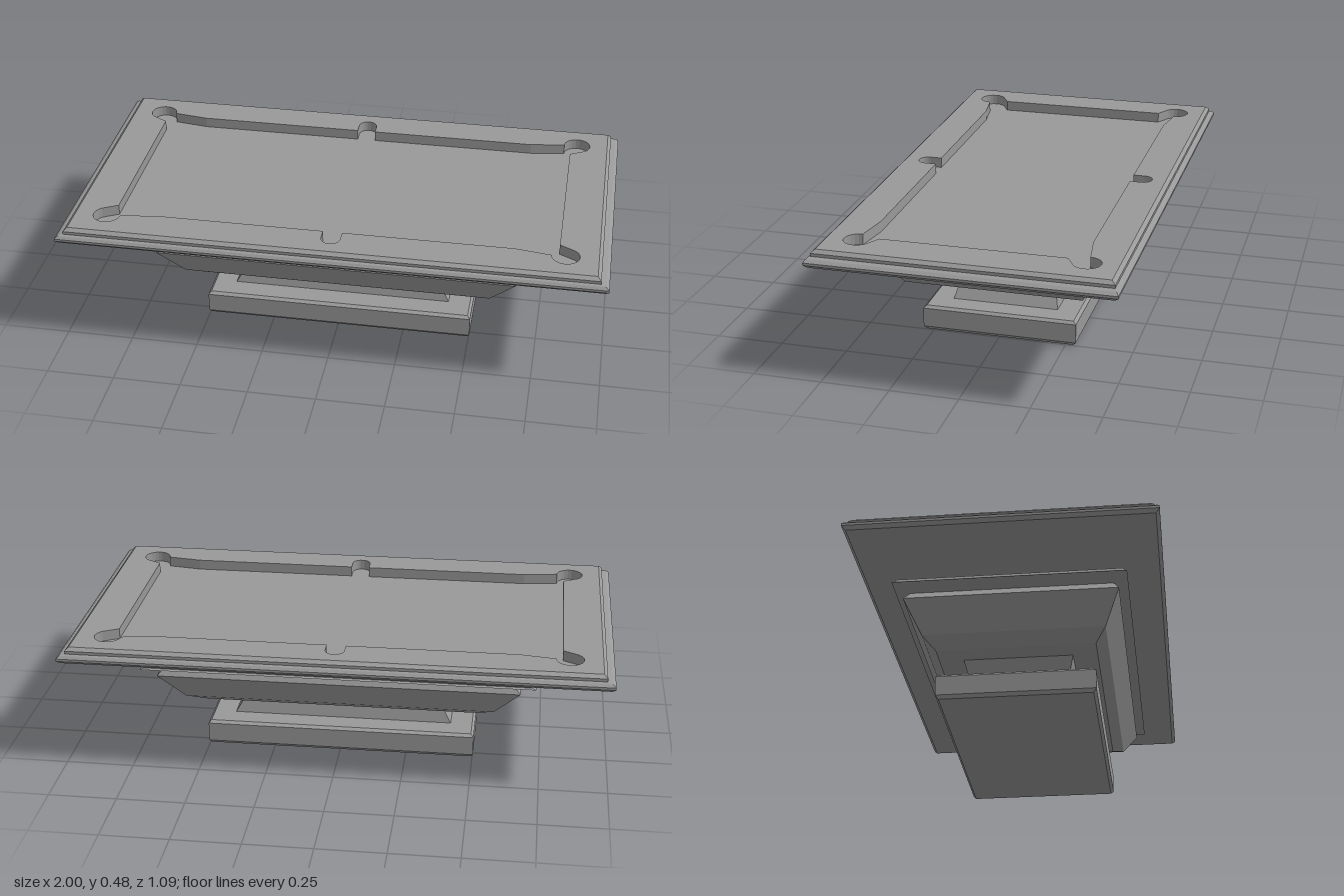
import * as THREE from 'three';

const material = new THREE.MeshStandardMaterial({ color: 0x999999, flatShading: true, side: THREE.DoubleSide });

// Rectangle outline, counter-clockwise seen from above
const rect = (hx, hz) => [[hx, -hz], [hx, hz], [-hx, hz], [-hx, -hz]].map(([x, y]) => new THREE.Vector2(x, y));

// Skin between successive outlines; levels = [[outline, height], ...]
function skin(levels) {
  const pos = [];
  for (let k = 0; k + 1 < levels.length; k++) {
    const [low, y0] = levels[k], [up, y1] = levels[k + 1];
    low.forEach((p, i) => {
      const j = (i + 1) % low.length;
      const a = [p.x, y0, -p.y], b = [low[j].x, y0, -low[j].y];
      const c = [up[j].x, y1, -up[j].y], d = [up[i].x, y1, -up[i].y];
      pos.push(...a, ...b, ...c, ...a, ...c, ...d);
    });
  }
  const g = new THREE.BufferGeometry();
  g.setAttribute('position', new THREE.Float32BufferAttribute(pos, 3));
  g.computeVertexNormals();
  return g;
}

// Flat face filling an outline, with an optional hole
function face(outline, y, up = true, hole) {
  const shape = new THREE.Shape(outline);
  if (hole) shape.holes.push(new THREE.Path(hole));
  return new THREE.ShapeGeometry(shape).rotateX(up ? -Math.PI / 2 : Math.PI / 2).translate(0, y, 0);
}

function part(name, ...geometries) {
  const group = new THREE.Group();
  group.name = name;
  geometries.forEach((g) => {
    const mesh = new THREE.Mesh(g, material);
    mesh.name = name;
    group.add(mesh);
  });
  return group;
}

// Closed rectangular moulding; profile rows are [halfWidth, halfDepth, height]
function moulding(name, profile) {
  const levels = profile.map(([hx, hz, y]) => [rect(hx, hz), y]);
  const [bottom, top] = [levels[0], levels[levels.length - 1]];
  return part(name, skin(levels), face(bottom[0], bottom[1], false), face(top[0], top[1]));
}

// Playing field outline with corner and middle pockets, mirrored from one quadrant
function fieldOutline() {
  const q = [[0.815, 0.333]];
  const arc = (cx, cy, r, a0, a1, n) => {
    for (let i = 0; i <= n; i++) {
      const a = a0 + ((a1 - a0) * i) / n;
      q.push([cx + r * Math.cos(a), cy + r * Math.sin(a)]);
    }
  };
  arc(0.84, 0.403, 0.05, -0.9, Math.PI, 14);
  q.push([0.66, 0.383], [0.035, 0.383]);
  arc(0, 0.427, 0.035, 0, 1.35, 5);
  const back = [...q].reverse();
  return [
    ...q,
    ...back.map(([x, y]) => [-x, y]),
    ...q.map(([x, y]) => [-x, -y]),
    ...back.map(([x, y]) => [x, -y]),
  ].map(([x, y]) => new THREE.Vector2(x, y));
}

export function createModel() {
  const model = new THREE.Group();
  model.name = 'poolTable';

  // Foot slab with chamfered edges
  model.add(moulding('base', [
    [0.493, 0.278, 0], [0.503, 0.289, 0.013], [0.503, 0.289, 0.085], [0.493, 0.278, 0.095],
  ]));

  // Waisted pedestal
  model.add(moulding('pedestal', [
    [0.415, 0.2, 0.09], [0.385, 0.187, 0.142], [0.417, 0.202, 0.195],
  ]));

  // Flared body
  model.add(moulding('body', [
    [0.5, 0.29, 0.19], [0.575, 0.33, 0.218], [0.67, 0.385, 0.32], [0.575, 0.33, 0.423],
  ]));

  // Thin ledge around the body
  model.add(moulding('ledge', [
    [0.725, 0.417, 0.357], [0.71, 0.41, 0.362], [0.703, 0.405, 0.378],
  ]));

  // Table top: stepped rim, rail surface, cushion walls and sunken field
  const rim = [
    [0.987, 0.53, 0.422], [1, 0.543, 0.434], [1, 0.543, 0.443], [0.988, 0.535, 0.453],
    [0.97, 0.526, 0.457], [0.97, 0.526, 0.468], [0.957, 0.513, 0.48],
  ].map(([hx, hz, y]) => [rect(hx, hz), y]);
  const field = fieldOutline();
  const top = 0.48, floor = 0.441;
  model.add(part('tableRim', skin(rim), face(rim[0][0], rim[0][1], false)));
  model.add(part('rail', face(rim[rim.length - 1][0], top, true, field)));
  model.add(part('cushionWalls', skin([[field, top], [field, floor]])));
  model.add(part('playingField', face(field, floor)));

  return model;
}
